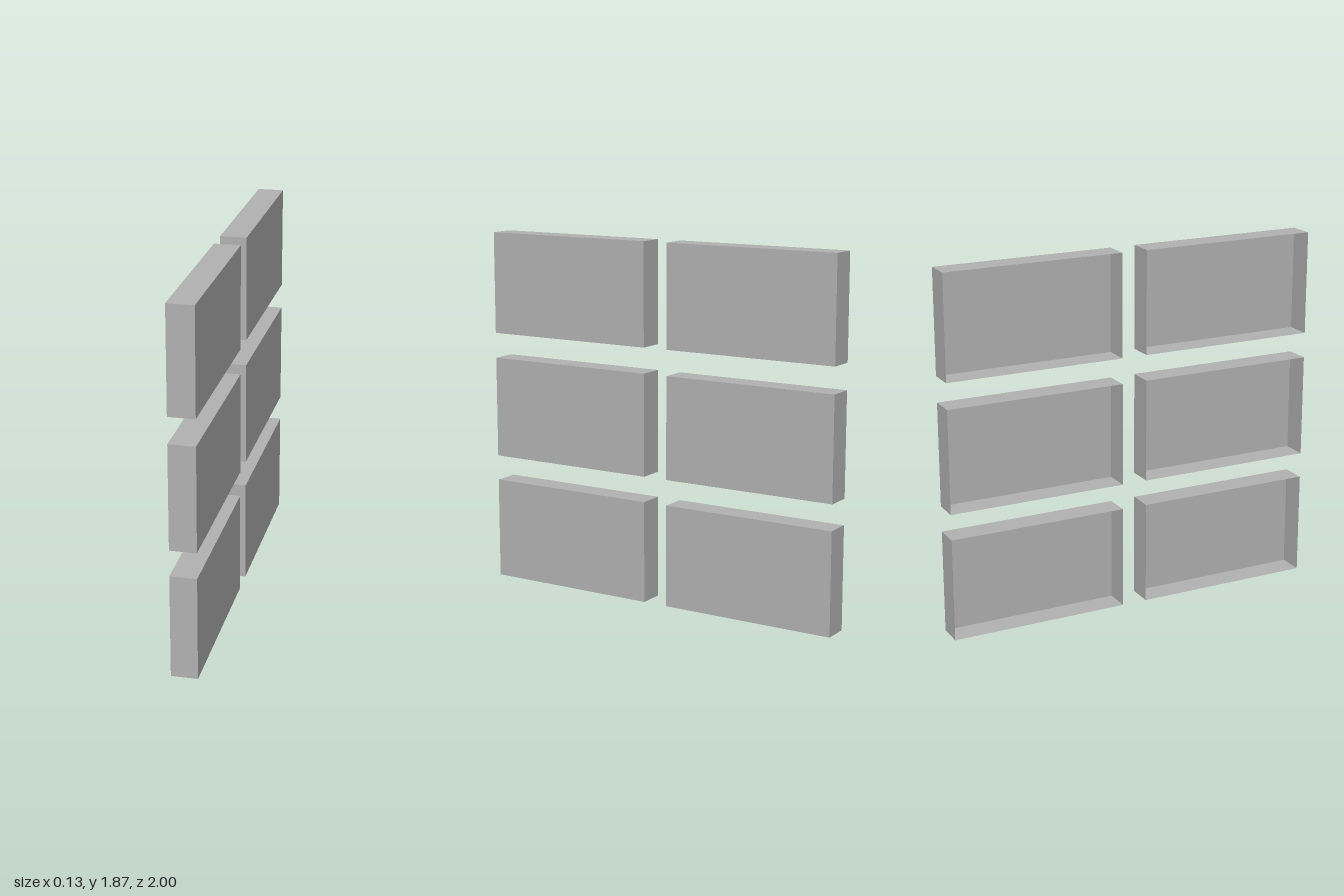
import * as THREE from 'three';

const DEPTH = 0.133, HEIGHT = 0.533, LENGTH = 0.933, GAP = 0.133;

// Thin-walled tray: a box without its -x side
function openBox() {
  const geometry = new THREE.BoxGeometry(DEPTH, HEIGHT, LENGTH);
  const index = Array.from(geometry.index.array);
  index.splice(6, 6); // the second face of a box is its -x side
  geometry.setIndex(index);
  geometry.clearGroups();
  return geometry;
}

export function createModel() {
  const model = new THREE.Group();
  model.name = 'panelGrid';

  const grey = new THREE.MeshStandardMaterial({ color: 0xb2b2b2, side: THREE.DoubleSide });
  grey.name = 'grey';

  // Three rows of two panels
  const geometry = openBox();
  for (let row = 0; row < 3; row++) {
    for (const side of [-1, 1]) {
      const panel = new THREE.Mesh(geometry, grey);
      panel.name = `panelRow${row + 1}${side > 0 ? 'Front' : 'Back'}`;
      panel.position.set(0, HEIGHT / 2 + row * (HEIGHT + GAP), side * (LENGTH + GAP) / 2);
      model.add(panel);
    }
  }
  return model;
}
